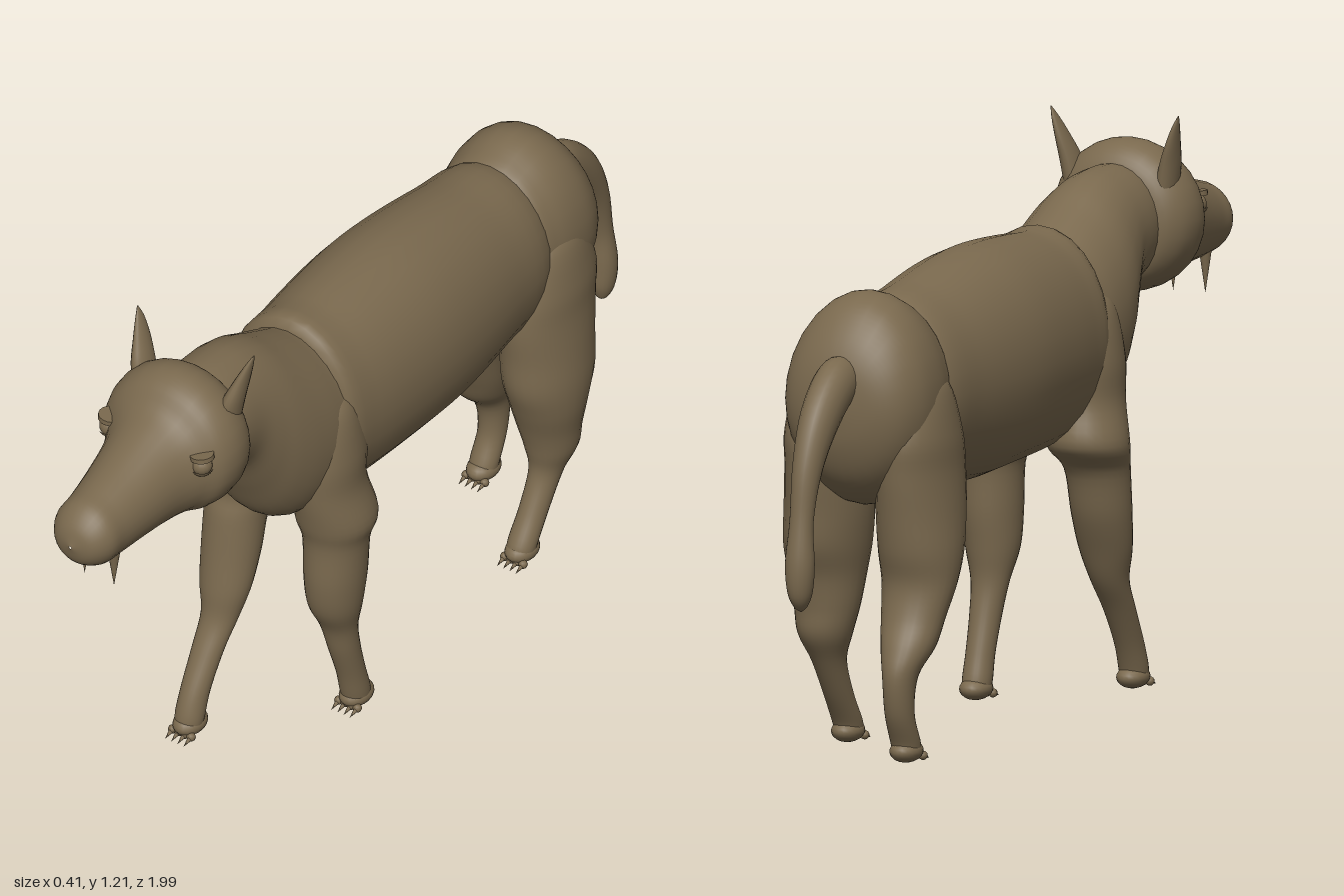
import * as THREE from 'three';

const fur = new THREE.MeshStandardMaterial({ color: 0x7a694e });
fur.name = 'brown fur';

// Smooth closed skin through elliptical sections [cx, cy, cz, rx, rv].
// axis 'z': upright sections, 'y': level sections, 'path': square to the path.
function loft(name, rows, axis, sides = 28, steps = 5) {
  const centre = new THREE.CatmullRomCurve3(
    rows.map(r => new THREE.Vector3(r[0], r[1], r[2])), false, 'catmullrom', 0.5);
  const radius = new THREE.CatmullRomCurve3(
    rows.map(r => new THREE.Vector3(r[3], r[4], 0)), false, 'catmullrom', 0.5);
  const n = (rows.length - 1) * steps, pos = [], index = [];
  for (let i = 0; i <= n; i++) {
    const c = centre.getPoint(i / n), r = radius.getPoint(i / n);
    const v = axis === 'z' ? new THREE.Vector3(0, 1, 0) : new THREE.Vector3(0, 0, 1);
    if (axis === 'path') {
      const t = centre.getTangent(i / n);
      v.set(0, -t.z, t.y).normalize();
    }
    for (let j = 0; j < sides; j++) {
      const a = j / sides * Math.PI * 2;
      const s = Math.sin(a) * Math.max(r.y, 0.0005);
      pos.push(c.x + Math.cos(a) * Math.max(r.x, 0.0005), c.y + v.y * s, c.z + v.z * s);
      if (i < n) {
        const k = (j + 1) % sides, p = i * sides, q = p + sides;
        index.push(p + j, p + k, q + j, p + k, q + k, q + j);
      }
    }
  }
  // Signed volume tells whether the faces point outward
  let volume = 0;
  const P = i => new THREE.Vector3().fromArray(pos, i * 3);
  for (let i = 0; i < index.length; i += 3)
    volume += P(index[i]).dot(P(index[i + 1]).cross(P(index[i + 2])));
  if (volume < 0) index.reverse();
  const g = new THREE.BufferGeometry();
  g.setAttribute('position', new THREE.Float32BufferAttribute(pos, 3));
  g.setIndex(index);
  g.computeVertexNormals();
  return part(name, g);
}

function part(name, geometry, x = 0, y = 0, z = 0) {
  const m = new THREE.Mesh(geometry, fur);
  m.name = name;
  m.position.set(x, y, z);
  return m;
}

// Section along z given as [z, bottom, top, half width]
const span = rows => rows.map(([z, lo, hi, w]) => [0, (lo + hi) / 2, z, w, (hi - lo) / 2]);
// Leg section given as [y, back z, front z, inner x, outer x]
const legRows = (side, rows) => rows.map(([y, b, f, i, o]) =>
  [side * (i + o) / 2, y, (b + f) / 2, (o - i) / 2, (f - b) / 2]);

function leg(name, side, rows, toeZ) {
  const g = new THREE.Group();
  g.name = name;
  g.add(loft(name + 'Limb', legRows(side, rows), 'y'));
  // Paw and four claws
  const paw = part('paw', new THREE.SphereGeometry(1, 20, 12), side * 0.115, 0.026, toeZ - 0.045);
  paw.scale.set(0.034, 0.025, 0.045);
  g.add(paw);
  for (let i = 0; i < 4; i++) {
    const x = side * 0.115 + (i - 1.5) * 0.016;
    const toe = part('toe', new THREE.SphereGeometry(0.01, 10, 8), x, 0.013, toeZ - 0.014);
    const claw = part('claw', new THREE.ConeGeometry(0.006, 0.026, 8), x, 0.008, toeZ + 0.002);
    claw.rotation.x = Math.PI / 2 + 0.3;
    g.add(toe, claw);
  }
  return g;
}

export function createModel() {
  const model = new THREE.Group();
  model.name = 'beast';

  model.add(loft('barrel', span([
    [0.21, 0.77, 0.79, 0.01], [0.2, 0.57, 1.0, 0.15], [0.1, 0.545, 1.015, 0.175],
    [-0.1, 0.535, 1.025, 0.19], [-0.25, 0.532, 1.015, 0.188], [-0.42, 0.55, 0.988, 0.172],
    [-0.56, 0.575, 0.96, 0.15], [-0.62, 0.7, 0.85, 0.06]]), 'z'));

  model.add(loft('chestAndNeck', span([
    [0.1, 0.7, 0.85, 0.06], [0.15, 0.58, 0.97, 0.145], [0.21, 0.56, 1.0, 0.16],
    [0.29, 0.57, 1.04, 0.158], [0.35, 0.62, 1.072, 0.148], [0.4, 0.71, 1.09, 0.132],
    [0.45, 0.8, 1.098, 0.118], [0.52, 0.835, 1.1, 0.112], [0.6, 0.85, 1.09, 0.1]]), 'z'));

  model.add(loft('rump', span([
    [-0.5, 0.7, 0.85, 0.04], [-0.53, 0.6, 0.95, 0.135], [-0.58, 0.56, 0.985, 0.16],
    [-0.64, 0.54, 1.0, 0.168], [-0.7, 0.56, 0.98, 0.162], [-0.75, 0.61, 0.925, 0.135],
    [-0.78, 0.68, 0.86, 0.085], [-0.792, 0.76, 0.78, 0.005]]), 'z'));

  model.add(loft('headAndMuzzle', span([
    [0.512, 0.96, 0.98, 0.005], [0.518, 0.87, 1.08, 0.105], [0.55, 0.828, 1.13, 0.15],
    [0.6, 0.815, 1.146, 0.166], [0.65, 0.818, 1.13, 0.158], [0.69, 0.83, 1.09, 0.128],
    [0.74, 0.832, 1.065, 0.105], [0.82, 0.838, 1.035, 0.09], [0.9, 0.842, 1.012, 0.079],
    [0.95, 0.85, 0.998, 0.075], [0.985, 0.875, 0.965, 0.048], [1.0, 0.918, 0.924, 0.003]]), 'z'));

  model.add(loft('tail', [
    [0, 0.82, -0.73, 0.04, 0.05], [0, 0.82, -0.79, 0.045, 0.054], [0, 0.755, -0.868, 0.041, 0.05],
    [0, 0.66, -0.925, 0.032, 0.036], [0, 0.55, -0.953, 0.026, 0.025], [0, 0.46, -0.961, 0.032, 0.031],
    [0, 0.4, -0.96, 0.027, 0.029], [0, 0.368, -0.957, 0.015, 0.016], [0, 0.355, -0.956, 0.001, 0.001]],
    'path', 20));

  for (const s of [1, -1]) {
    // Ears, flattened and curving outward
    model.add(loft('ear', [
      [s * 0.108, 1.05, 0.57, 0.024, 0.035], [s * 0.118, 1.1, 0.565, 0.021, 0.034],
      [s * 0.13, 1.145, 0.553, 0.014, 0.026], [s * 0.142, 1.185, 0.543, 0.007, 0.014],
      [s * 0.151, 1.211, 0.538, 0.001, 0.001]], 'y', 16));
    // Eyes under flat lids
    const eye = part('eye', new THREE.SphereGeometry(0.023, 16, 12), s * 0.119, 0.998, 0.685);
    const lid = part('upperLid', new THREE.CylinderGeometry(0.026, 0.026, 0.011, 18), s * 0.119, 1.021, 0.684);
    const lower = part('lowerLid', new THREE.SphereGeometry(0.026, 18, 8, 0, Math.PI * 2, Math.PI * 0.58, Math.PI * 0.42),
      s * 0.119, 0.998, 0.685);
    lid.rotation.z = s * 0.12;
    model.add(eye, lid, lower);
    // Fangs
    const fang = part('fang', new THREE.ConeGeometry(0.015, 0.1, 14), s * 0.038, 0.82, 0.893);
    fang.rotation.x = Math.PI;
    model.add(fang);
  }

  // Shared tops of the limbs: shoulder and thigh
  const shoulder = [[0.9, 0.19, 0.21, 0.1, 0.11], [0.85, 0.14, 0.26, 0.06, 0.16], [0.74, 0.11, 0.29, 0.05, 0.18],
    [0.65, 0.11, 0.29, 0.04, 0.182], [0.56, 0.09, 0.275, 0.025, 0.202]];
  const thigh = [[0.84, -0.62, -0.6, 0.1, 0.11], [0.8, -0.69, -0.53, 0.06, 0.165], [0.7, -0.735, -0.485, 0.04, 0.188],
    [0.62, -0.735, -0.47, 0.025, 0.192]];

  model.add(leg('leftFrontLeg', 1, [...shoulder,
    [0.5, 0.11, 0.262, 0.045, 0.188], [0.4, 0.115, 0.262, 0.05, 0.182], [0.32, 0.125, 0.248, 0.055, 0.172],
    [0.25, 0.132, 0.212, 0.07, 0.155], [0.18, 0.12, 0.192, 0.08, 0.15], [0.1, 0.098, 0.165, 0.084, 0.147],
    [0.04, 0.08, 0.15, 0.083, 0.147], [0.012, 0.085, 0.14, 0.09, 0.14], [0.008, 0.11, 0.112, 0.114, 0.116]], 0.155));
  model.add(leg('rightFrontLeg', -1, [...shoulder,
    [0.5, 0.15, 0.29, 0.045, 0.188], [0.4, 0.18, 0.305, 0.05, 0.182], [0.32, 0.215, 0.318, 0.055, 0.172],
    [0.25, 0.248, 0.328, 0.07, 0.155], [0.18, 0.295, 0.365, 0.08, 0.15], [0.1, 0.34, 0.41, 0.084, 0.147],
    [0.04, 0.365, 0.43, 0.083, 0.147], [0.012, 0.37, 0.42, 0.09, 0.14], [0.008, 0.39, 0.392, 0.114, 0.116]], 0.44));
  model.add(leg('leftHindLeg', 1, [...thigh,
    [0.53, -0.722, -0.475, 0.02, 0.2], [0.45, -0.712, -0.478, 0.025, 0.205], [0.38, -0.685, -0.5, 0.035, 0.2],
    [0.31, -0.672, -0.525, 0.045, 0.186], [0.25, -0.665, -0.54, 0.06, 0.176], [0.19, -0.628, -0.545, 0.08, 0.154],
    [0.11, -0.58, -0.508, 0.084, 0.147], [0.04, -0.535, -0.465, 0.083, 0.147], [0.012, -0.53, -0.475, 0.09, 0.14],
    [0.008, -0.502, -0.5, 0.114, 0.116]], -0.455));
  model.add(leg('rightHindLeg', -1, [...thigh,
    [0.53, -0.725, -0.485, 0.02, 0.2], [0.45, -0.715, -0.515, 0.025, 0.205], [0.38, -0.7, -0.555, 0.035, 0.2],
    [0.31, -0.715, -0.59, 0.045, 0.186], [0.25, -0.745, -0.62, 0.06, 0.176], [0.19, -0.763, -0.675, 0.08, 0.154],
    [0.11, -0.752, -0.685, 0.084, 0.147], [0.04, -0.72, -0.655, 0.083, 0.147], [0.012, -0.715, -0.66, 0.09, 0.14],
    [0.008, -0.692, -0.69, 0.114, 0.116]], -0.64));

  return model;
}
